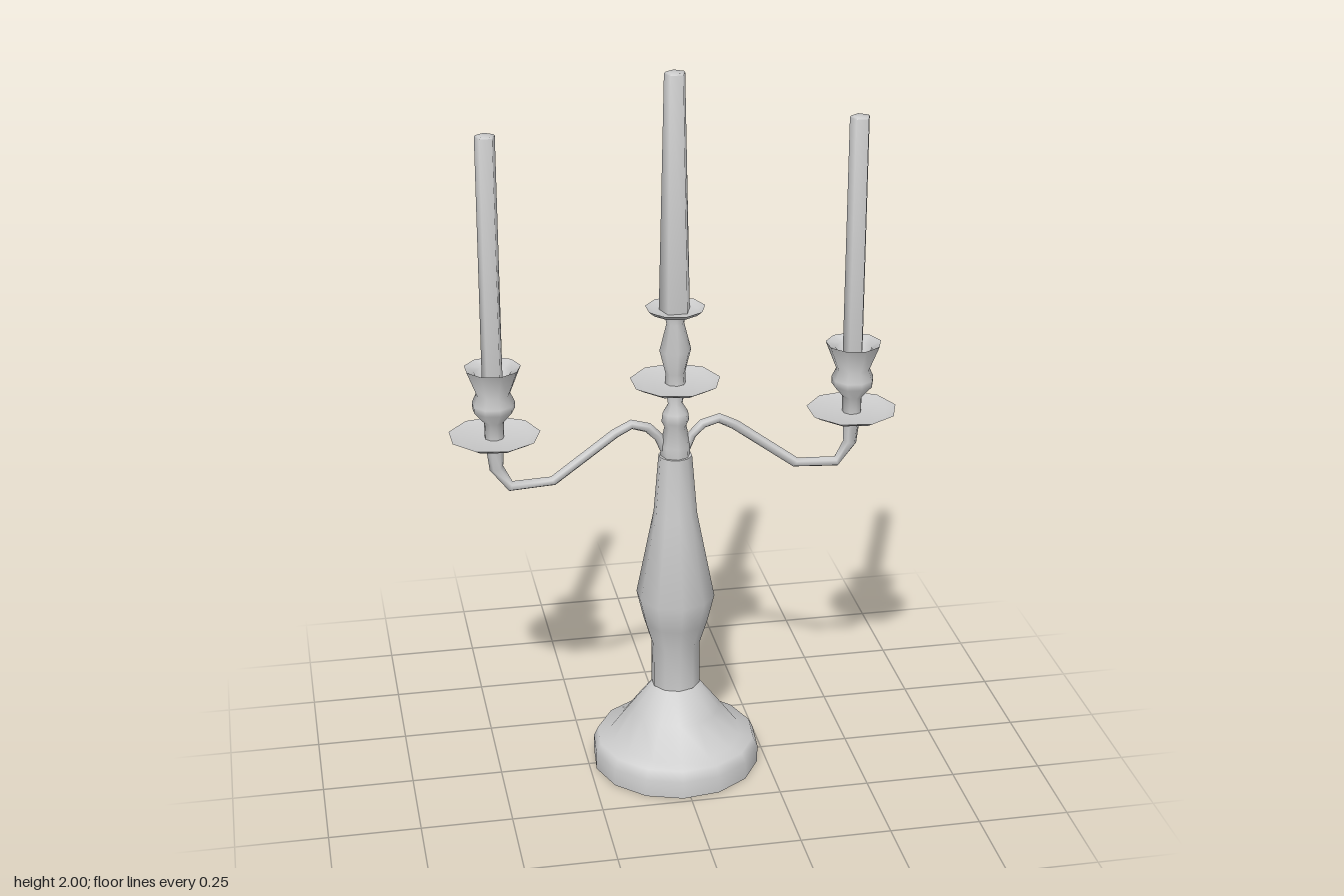
import * as THREE from 'three';
import { toCreasedNormals } from 'three/addons/utils/BufferGeometryUtils.js';

const material = new THREE.MeshStandardMaterial({ color: 0xcccccc, side: THREE.DoubleSide });

function addMesh(parent, name, geometry) {
  const mesh = new THREE.Mesh(toCreasedNormals(geometry, 1.3), material);
  mesh.name = name;
  parent.add(mesh);
  return mesh;
}

// Turned part: profile is [radius, y] pairs from bottom to top
function turned(parent, name, profile, sides, phase = 0) {
  const points = profile.map(([r, y]) => new THREE.Vector2(r, y));
  return addMesh(parent, name, new THREE.LatheGeometry(points, sides, phase));
}

// Shallow drip dish with a thin raised rim
function dish(parent, name, radius, y) {
  return turned(parent, name, [
    [0, y - 0.012], [radius * 0.8, y - 0.01], [radius, y + 0.004], [radius * 0.78, y - 0.004], [0, y - 0.004],
  ], 9, 0.2);
}

function candle(parent, y0, y1, r0, r1) {
  return turned(parent, 'candle', [[0, y0], [r0, y0], [r1, y1 - 0.004], [r1 * 0.85, y1], [0, y1]], 5, Math.PI / 5);
}

// Round bar swept along [x, y, radius] points in the xy plane
function sweptBar(path, sides) {
  const positions = [], index = [];
  path.forEach(([x, y, r], i) => {
    const a = path[Math.max(i - 1, 0)], b = path[Math.min(i + 1, path.length - 1)];
    const t = new THREE.Vector2(b[0] - a[0], b[1] - a[1]).normalize();
    for (let j = 0; j < sides; j++) {
      const angle = (j / sides) * Math.PI * 2, c = Math.cos(angle) * r;
      positions.push(x - t.y * c, y + t.x * c, Math.sin(angle) * r);
      if (i === path.length - 1) continue;
      const k = i * sides, p = k + j, q = k + ((j + 1) % sides);
      index.push(p, q, p + sides, q, q + sides, p + sides);
    }
  });
  const geometry = new THREE.BufferGeometry();
  geometry.setAttribute('position', new THREE.Float32BufferAttribute(positions, 3));
  geometry.setIndex(index);
  return geometry;
}

export function createModel() {
  const model = new THREE.Group();
  model.name = 'candelabra';

  // Foot and column
  turned(model, 'base', [
    [0, 0], [0.235, 0], [0.235, 0.05], [0.222, 0.078], [0.185, 0.083], [0.125, 0.165], [0.06, 0.25], [0, 0.25],
  ], 14, -0.09);
  turned(model, 'column', [
    [0, 0.245], [0.068, 0.245], [0.068, 0.37], [0.09, 0.44], [0.109, 0.52], [0.06, 0.77], [0.046, 0.94], [0, 0.94],
  ], 10);

  // Centre light
  turned(model, 'neck', [
    [0, 0.93], [0.04, 0.935], [0.042, 0.97], [0.03, 1.025], [0.038, 1.04], [0.035, 1.065], [0.02, 1.09], [0.029, 1.145], [0, 1.145],
  ], 8);
  dish(model, 'centreDish', 0.123, 1.153);
  turned(model, 'centreHolder', [
    [0, 1.145], [0.028, 1.15], [0.027, 1.18], [0.043, 1.245], [0.024, 1.32], [0.03, 1.352], [0, 1.355],
  ], 8);
  dish(model, 'candleCollar', 0.081, 1.361);
  candle(model, 1.355, 2.0, 0.044, 0.029);

  // Matching side branches
  for (const side of [1, -1]) {
    const branch = new THREE.Group();
    branch.name = side > 0 ? 'leftBranch' : 'rightBranch';
    model.add(branch);

    addMesh(branch, 'arm', sweptBar([
      [0.025, 0.945, 0.012], [0.045, 0.995, 0.013], [0.075, 1.025, 0.014], [0.12, 1.038, 0.014],
      [0.165, 1.015, 0.014], [0.335, 0.89, 0.014], [0.45, 0.884, 0.015], [0.487, 0.94, 0.019], [0.49, 1.025, 0.026],
    ].map(([x, y, r]) => [x * side, y, r]), 6));

    // Dish, hollow cup and candle at the end of the arm
    const light = new THREE.Group();
    light.name = 'sideLight';
    light.position.x = 0.49 * side;
    branch.add(light);
    dish(light, 'dripDish', 0.124, 1.034);
    turned(light, 'candleCup', [
      [0, 1.025], [0.026, 1.027], [0.027, 1.075], [0.057, 1.11], [0.058, 1.128], [0.046, 1.155],
      [0.076, 1.23], [0.05, 1.215], [0.03, 1.16], [0, 1.16],
    ], 9, 0.2);
    candle(light, 1.15, 1.86, 0.029, 0.028);
  }
  return model;
}
